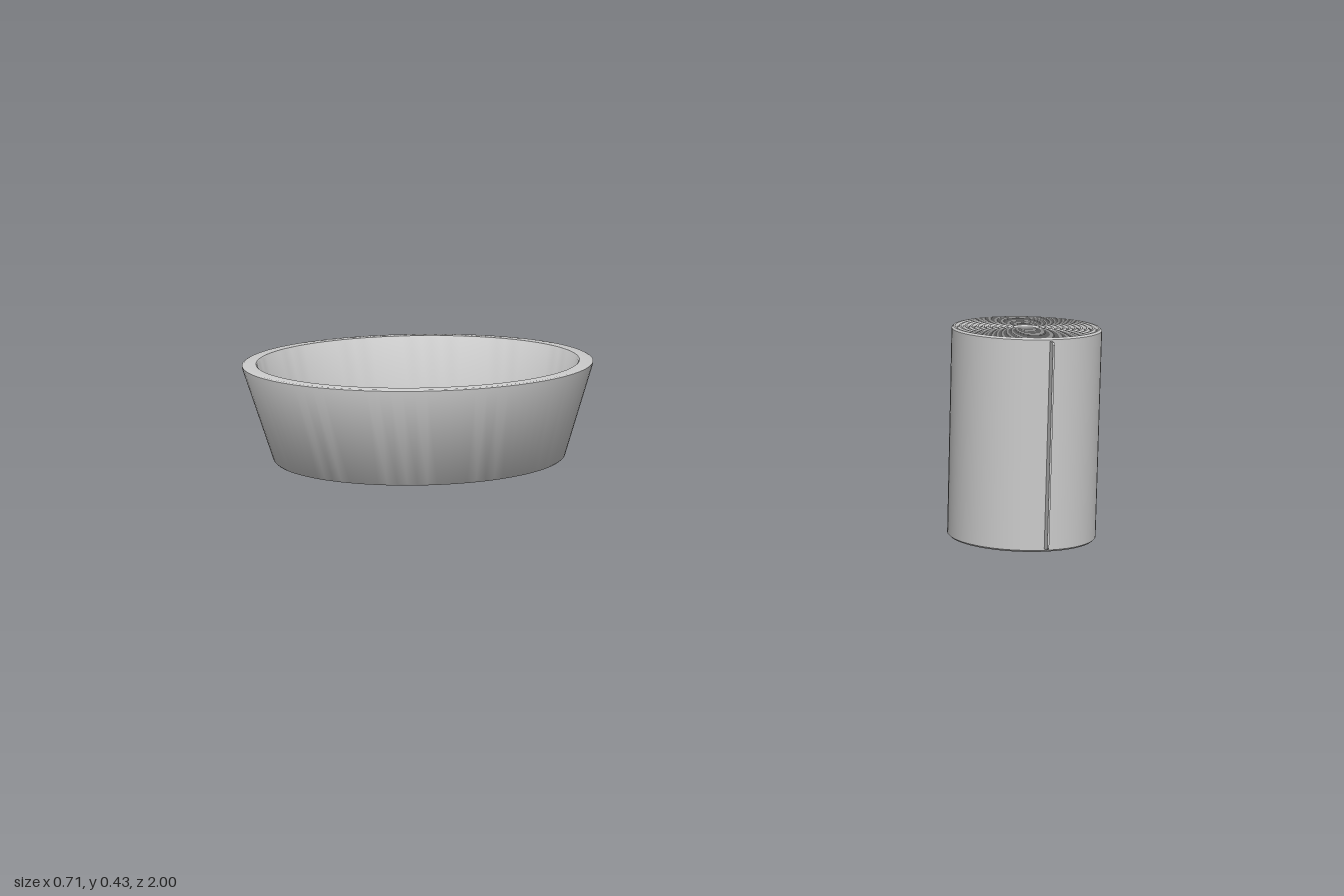
import * as THREE from 'three';
import { toCreasedNormals } from 'three/addons/utils/BufferGeometryUtils.js';

const material = new THREE.MeshStandardMaterial({ color: 0xcccccc });

// Turned part from [radius, height] pairs, with sharp edges kept crisp
function turned(name, profile, segments) {
  const points = profile.map(([r, y]) => new THREE.Vector2(r, y));
  const geometry = toCreasedNormals(new THREE.LatheGeometry(points, segments), 0.6);
  const mesh = new THREE.Mesh(geometry, material);
  mesh.name = name;
  return mesh;
}

function createBowl() {
  // Underside, flared wall, softened flat rim, inner wall, floor
  const bowl = turned('bowl', [
    [0, 0], [0.295, 0], [0.298, 0.003],
    [0.356, 0.192], [0.356, 0.196], [0.352, 0.198],
    [0.328, 0.198], [0.325, 0.195],
    [0.291, 0.022], [0, 0.022],
  ], 96);
  bowl.position.z = -0.643;
  return bowl;
}

function createRoll() {
  const roll = new THREE.Group();
  roll.name = 'roll';
  const height = 0.343, core = 0.018, radius = 0.12, count = 11, bevel = 0.003;
  const pitch = (radius - core) / count;

  // Wound layers: nested tubes with bevelled ends
  for (let i = 0; i < count; i++) {
    const a = core + i * pitch, b = a + pitch - 0.0005;
    roll.add(turned('layer', [
      [a, bevel], [a + bevel, 0], [b - bevel, 0], [b, bevel],
      [b, height - bevel], [b - bevel, height], [a + bevel, height], [a, height - bevel],
      [a, bevel],
    ], 64));
  }

  // Loose end of the sheet, standing out from the surface
  const length = 0.022, tall = 0.332, c = 0.004;
  const shape = new THREE.Shape();
  shape.moveTo(0, 0);
  shape.lineTo(length - c, 0);
  shape.lineTo(length, c);
  shape.lineTo(length, tall - c);
  shape.lineTo(length - c, tall);
  shape.lineTo(0, tall);
  const flapGeometry = new THREE.ExtrudeGeometry(shape, { depth: 0.003, bevelEnabled: false });
  flapGeometry.translate(0.112, (height - tall) / 2, -0.0015);
  const flap = new THREE.Mesh(flapGeometry, material);
  flap.name = 'looseEnd';
  flap.rotation.y = -Math.atan2(0.108, -0.076);
  roll.add(flap);

  roll.position.set(-0.011, 0.087, 0.88);
  return roll;
}

export function createModel() {
  const model = new THREE.Group();
  model.name = 'bowlAndRoll';
  model.add(createBowl(), createRoll());
  return model;
}
